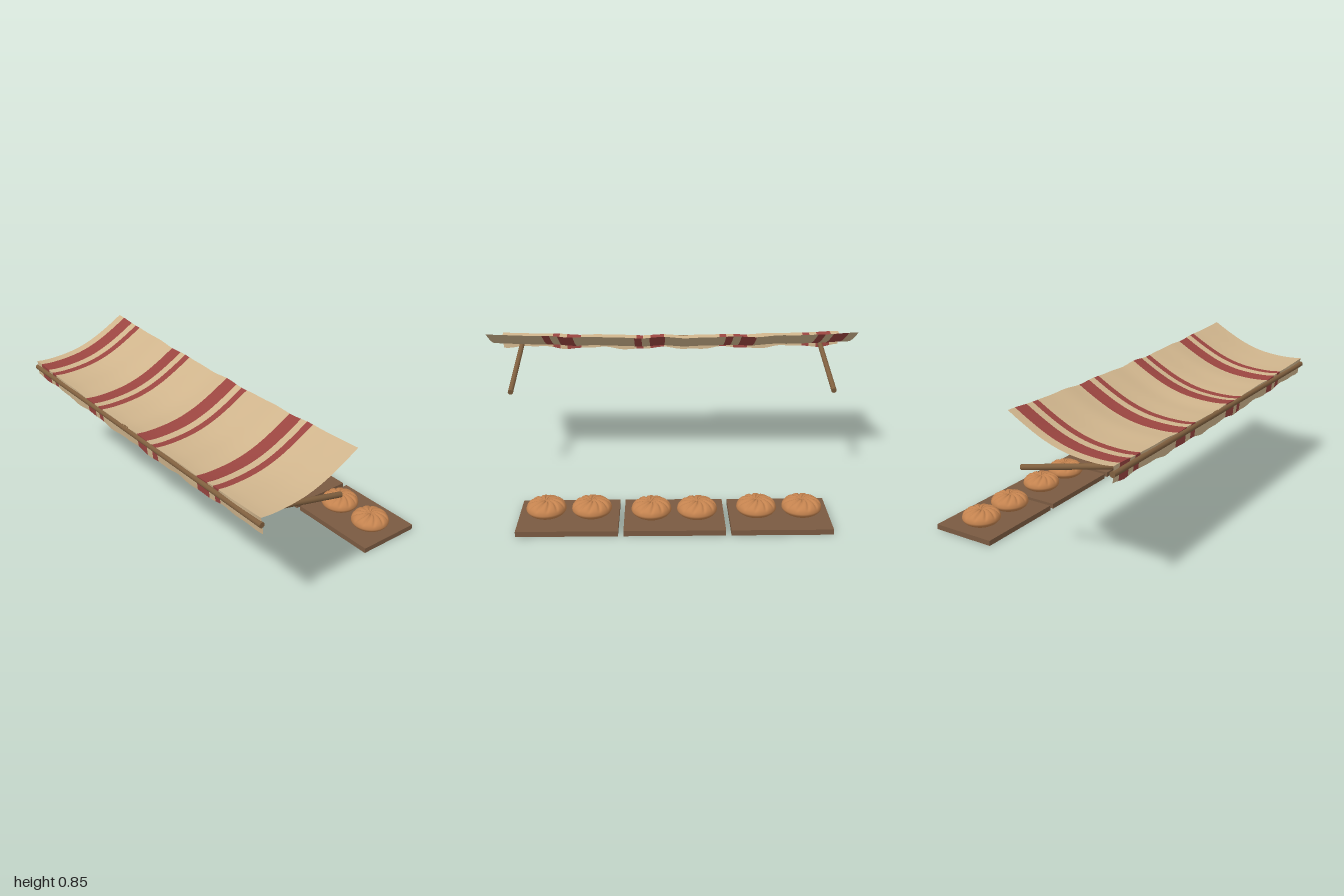
import * as THREE from 'three';
import { mergeVertices } from 'three/addons/utils/BufferGeometryUtils.js';

const mat = (name, color, side = THREE.FrontSide) => {
  const m = new THREE.MeshStandardMaterial({ color, side });
  m.name = name;
  return m;
};

// Stripe pairs repeated across the cloth: [start, end] in x
const STRIPES = [];
for (let i = 0; i < 4; i++) {
  const x = -0.945 + i * 0.493;
  STRIPES.push([x, x + 0.082], [x + 0.125, x + 0.165]);
}
const HALF = 0.995;

// Column positions: an even grid plus every stripe edge
function columns() {
  const xs = STRIPES.flat();
  for (let i = 0; i <= 80; i++) {
    const x = -HALF + (2 * HALF * i) / 80;
    if (STRIPES.flat().every((e) => Math.abs(e - x) > 0.006)) xs.push(x);
  }
  return xs.sort((a, b) => a - b);
}

// Cloth sheet from a rule point(x, t), with t running from back to front or top to bottom
function clothSheet(rows, point) {
  const xs = columns();
  const pos = [], plain = [], red = [];
  xs.forEach((x) => {
    for (let j = 0; j <= rows; j++) pos.push(x, ...point(x, j / rows));
  });
  for (let i = 0; i < xs.length - 1; i++) {
    const mid = (xs[i] + xs[i + 1]) / 2;
    const out = STRIPES.some(([a, b]) => mid > a && mid < b) ? red : plain;
    for (let j = 0; j < rows; j++) {
      const a = i * (rows + 1) + j, b = a + rows + 1;
      out.push(a, a + 1, b + 1, a, b + 1, b);
    }
  }
  const g = new THREE.BufferGeometry();
  g.setAttribute('position', new THREE.Float32BufferAttribute(pos, 3));
  g.setIndex([...plain, ...red]);
  g.addGroup(0, plain.length, 0);
  g.addGroup(plain.length, red.length, 1);
  g.computeVertexNormals();
  return g;
}

// Sag towards the middle plus soft ripples
const ripple = (x) => 0.003 * Math.sin(x * 19 + 0.6) + 0.002 * Math.sin(x * 31);
const sag = (x) => -0.024 * (1 - x * x) + ripple(x) * (1 - x * x * 0.7);

// Flattened bun with pleats twisting towards the top
function bunGeometry() {
  const profile = new THREE.SplineCurve([
    [0, 0], [0.05, 0], [0.082, 0.013], [0.099, 0.03], [0.101, 0.043], [0.095, 0.06],
    [0.078, 0.076], [0.052, 0.085], [0.028, 0.087], [0.012, 0.083], [0, 0.079],
  ].map(([r, y]) => new THREE.Vector2(r, y))).getPoints(30);
  profile.forEach((p) => { p.x = Math.max(p.x, 0); });
  profile[0].x = profile[profile.length - 1].x = 0;
  const g = new THREE.LatheGeometry(profile, 110);
  const p = g.attributes.position;
  for (let i = 0; i < p.count; i++) {
    const x = p.getX(i), y = p.getY(i), z = p.getZ(i);
    const r = Math.hypot(x, z);
    const angle = Math.atan2(z, x) + 0.5 * (1 - r / 0.1);
    const groove = Math.pow(Math.abs(Math.cos(angle * 5.5)), 10);
    const weight = THREE.MathUtils.smoothstep(y, 0.045, 0.08) * Math.min(1, r / 0.02);
    const k = 1 - 0.03 * groove * weight;
    p.setXYZ(i, x * k, y - 0.008 * groove * weight, z * k);
  }
  g.deleteAttribute('uv');
  g.deleteAttribute('normal');
  const merged = mergeVertices(g, 1e-5);
  merged.computeVertexNormals();
  return merged;
}

export function createModel() {
  const model = new THREE.Group();
  model.name = 'bunStall';
  const cloth = mat('clothBeige', 0xcfb48c, THREE.DoubleSide);
  const red = mat('stripeRed', 0x9a4540, THREE.DoubleSide);
  const board = mat('boardWood', 0x7a5a41);
  const pole = mat('poleWood', 0x80603f);
  const dough = mat('bakedDough', 0xc4834f);

  const add = (name, geometry, material, x = 0, y = 0, z = 0) => {
    const m = new THREE.Mesh(geometry, material);
    m.name = name;
    m.position.set(x, y, z);
    model.add(m);
    return m;
  };

  // Awning cloth, curving down to the front pole
  const curve = new THREE.SplineCurve([
    [0.06, 0.845], [0.15, 0.794], [0.25, 0.746], [0.35, 0.714],
    [0.45, 0.699], [0.55, 0.696], [0.614, 0.702],
  ].map(([z, y]) => new THREE.Vector2(z, y)));
  add('awning', clothSheet(20, (x, t) => {
    const p = curve.getPoint(t);
    return [p.y + sag(x) * (1 - 0.2 * t), p.x];
  }), [cloth, red]);

  // Hanging front edge with a wavy hem
  add('valance', clothSheet(6, (x, t) => {
    const top = 0.702 + sag(x) * 0.8;
    const hem = 0.62 - 0.017 * (1 - x * x) + 0.006 * Math.sin(x * 17 + 0.8) + 0.003 * Math.sin(x * 37);
    const z = 0.614 - 0.009 * t + 0.005 * Math.sin(x * 17) * Math.sin(t * Math.PI * 0.6);
    return [top + (hem - top) * t, z];
  }), [cloth, red]);

  // Front pole
  add('frontPole', new THREE.CylinderGeometry(0.0145, 0.0145, 2, 12), pole, 0, 0.666, 0.612)
    .rotation.z = Math.PI / 2;

  // Slanted support arms
  const from = new THREE.Vector3(0, 0.663, 0.61), to = new THREE.Vector3(0, 0.528, 0.03);
  const dir = to.clone().sub(from);
  const armGeo = new THREE.CylinderGeometry(0.0145, 0.0145, dir.length(), 12);
  for (const s of [-1, 1]) {
    const arm = add(s > 0 ? 'leftArm' : 'rightArm', armGeo, pole,
      s * 0.877, (from.y + to.y) / 2, (from.z + to.z) / 2);
    arm.quaternion.setFromUnitVectors(new THREE.Vector3(0, 1, 0), dir.clone().normalize());
  }

  // Three boards with two buns each
  const boardGeo = new THREE.BoxGeometry(0.508, 0.028, 0.357);
  const bunGeo = bunGeometry();
  [-1, 0, 1].forEach((k) => {
    add('board', boardGeo, board, k * 0.535, 0.014, -0.45);
    for (const s of [-1, 1]) {
      const bun = add('bun', bunGeo, dough, k * 0.535 + s * 0.116, 0.028, k ? -0.441 : -0.457);
      bun.rotation.y = k * 0.7 + s * 0.4;
    }
  });
  return model;
}
